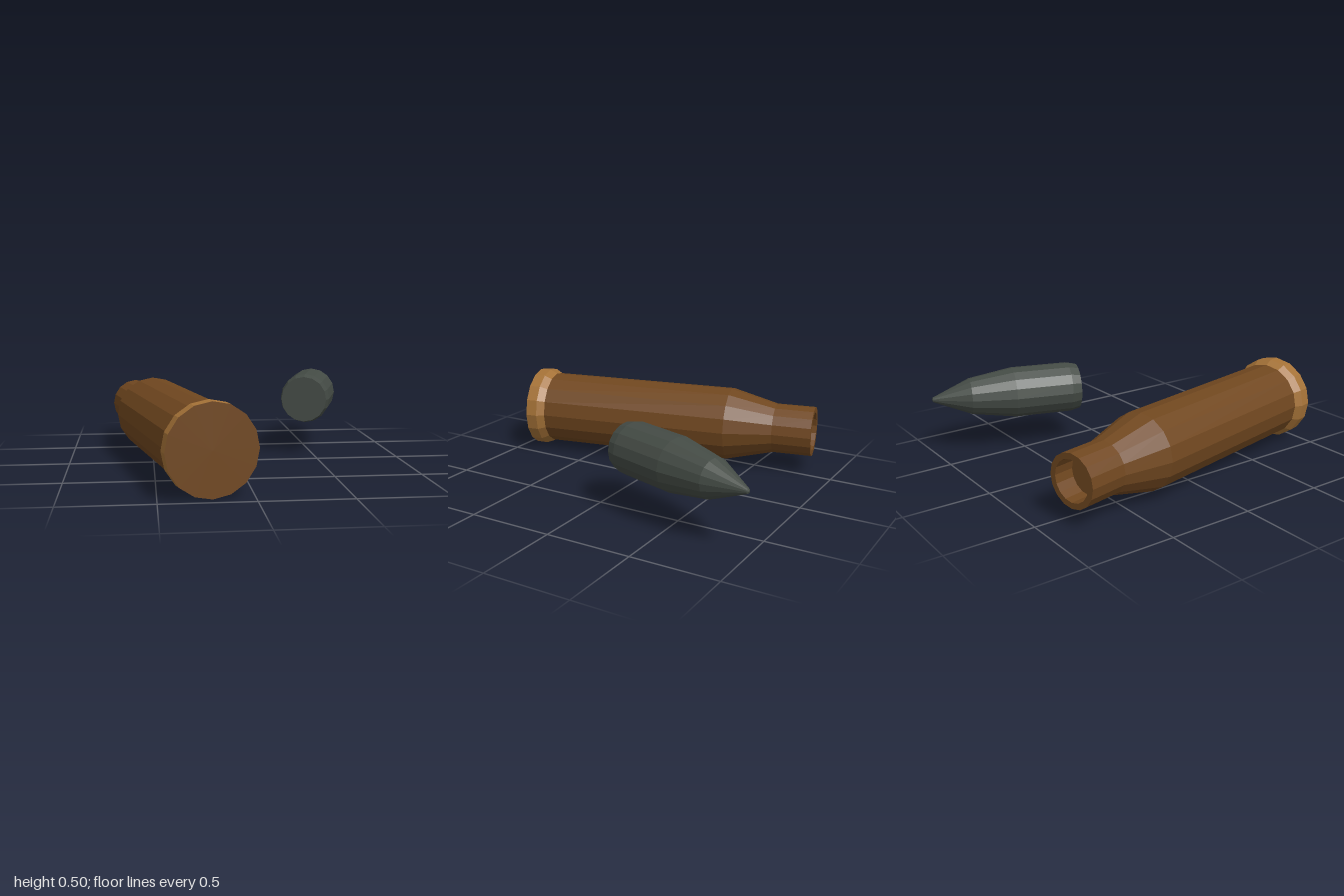
import * as THREE from 'three';

const SIDES = 16;
const material = (name, color) =>
  new THREE.MeshStandardMaterial({ name, color, flatShading: true });

// Turned part: profile of [radius, distance from the base], pointing to -z
function turned(name, profile, mat) {
  const geometry = new THREE.LatheGeometry(
    profile.map(([r, s]) => new THREE.Vector2(r, s)), SIDES);
  geometry.rotateX(-Math.PI / 2);
  const mesh = new THREE.Mesh(geometry, mat);
  mesh.name = name;
  return mesh;
}

export function createModel() {
  const brass = material('dark brass', 0x70471f);
  const paleBrass = material('pale brass', 0xa57237);
  const steel = material('dark steel', 0x444b45);

  const model = new THREE.Group();
  model.name = 'cartridge';

  // Spent casing: flat base, rim, bottlenecked body and hollow mouth
  const casing = new THREE.Group();
  casing.name = 'casing';
  casing.add(
    turned('casingBase', [[0, 0], [0.248, 0]], brass),
    turned('casingRim', [[0.248, 0], [0.25, 0.07], [0.225, 0.115]], paleBrass),
    turned('casingBody', [
      [0.225, 0.115], [0.225, 1.304], [0.152, 1.59], [0.152, 1.826],
    ], brass),
    turned('casingMouth', [
      [0.152, 1.826], [0.118, 1.826], [0.118, 1.706], [0, 1.706],
    ], brass));
  casing.position.set(-0.22, 0.25, 0.945);
  casing.rotation.y = 0.2124;

  // Pointed bullet lying beside it
  const bullet = turned('bullet', [
    [0, 0], [0.14, 0], [0.153, 0.058], [0.153, 0.403],
    [0.11, 0.666], [0.014, 0.89], [0, 0.896],
  ], steel);
  bullet.position.set(0.44, 0.347, -0.145);
  bullet.rotation.y = -0.307;

  model.add(casing, bullet);
  return model;
}
